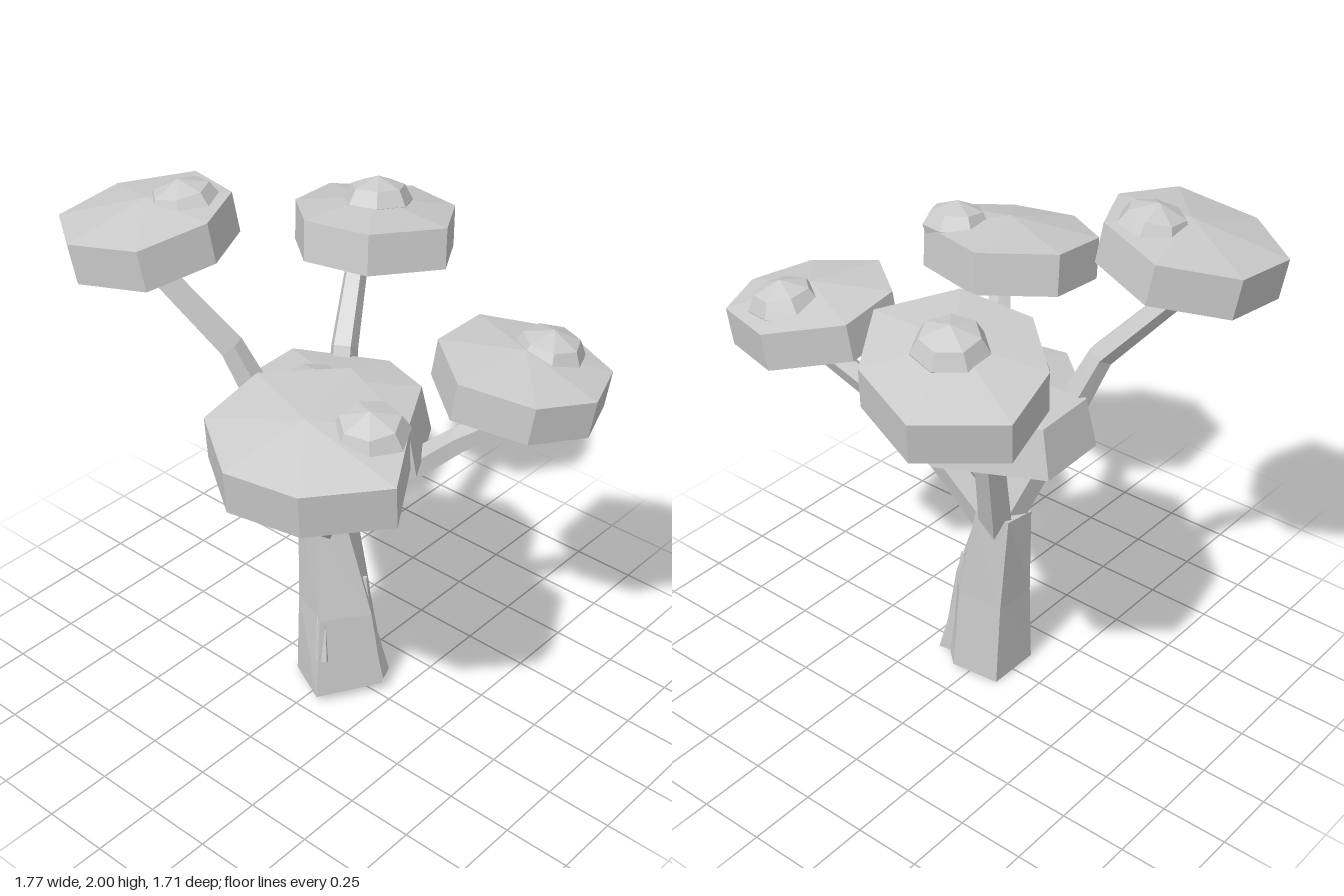
import * as THREE from 'three';

const material = new THREE.MeshStandardMaterial({ color: 0xcccccc, flatShading: true });
const V = (x, y, z) => new THREE.Vector3(x, y, z);

// Skin a stack of rings from bottom to top; a one-point ring closes an end.
function loft(name, rings) {
  const pos = [];
  const n = Math.max(...rings.map(r => r.length));
  const tri = (...pts) => pts.forEach(p => pos.push(p.x, p.y, p.z));
  for (let i = 0; i < rings.length - 1; i++) {
    const lo = rings[i], hi = rings[i + 1];
    for (let j = 0; j < n; j++) {
      const a = lo[j % lo.length], b = lo[(j + 1) % lo.length];
      const d = hi[j % hi.length], c = hi[(j + 1) % hi.length];
      if (hi.length > 1) tri(a, d, c);
      if (lo.length > 1) tri(a, c, b);
    }
  }
  const geo = new THREE.BufferGeometry();
  geo.setAttribute('position', new THREE.Float32BufferAttribute(pos, 3));
  geo.computeVertexNormals();
  const mesh = new THREE.Mesh(geo, material);
  mesh.name = name;
  return mesh;
}

// Regular ring of points around a centre, facing along a direction.
function ring(center, dir, radius, sides, turn = 0) {
  const q = new THREE.Quaternion().setFromUnitVectors(V(0, 1, 0), dir);
  return Array.from({ length: sides }, (_, k) => {
    const a = turn + (k / sides) * Math.PI * 2;
    return V(Math.cos(a) * radius, 0, Math.sin(a) * radius).applyQuaternion(q).add(center);
  });
}

// Tapered, angular limb through a few points.
function limb(name, path, r0, r1, sides = 5) {
  const pts = path.map(p => V(...p)), last = pts.length - 1;
  const rings = pts.map((p, i) => {
    const dir = pts[Math.min(i + 1, last)].clone().sub(pts[Math.max(i - 1, 0)]).normalize();
    return ring(p, dir, r0 + (r1 - r0) * i / last, sides, 0.4);
  });
  return loft(name, [[pts[0]], ...rings, [pts[last]]]);
}

// Seven-sided leaf pad: outline in x/z, mid heights, slope and a knob on top.
function canopy(name, { outline, bottom, top, slope, taper = 0.98, dome = 0.05, belly = 0.04, knob }) {
  const group = new THREE.Group();
  group.name = name;
  const cx = outline.reduce((s, p) => s + p[0], 0) / outline.length;
  const cz = outline.reduce((s, p) => s + p[1], 0) / outline.length;
  const [sx, sz] = slope;
  const rim = (y, scale, shift) => outline.map(([x, z]) => {
    const dx = (x - cx) * scale, dz = (z - cz) * scale;
    return V(cx + dx + sx * shift, y + sx * dx + sz * dz, cz + dz + sz * shift);
  });
  group.add(loft('leafPad', [
    [V(cx, bottom - belly, cz)], rim(bottom, 0.98, 0.1), rim(top, taper, -0.03), [V(cx, top + dome, cz)],
  ]));
  const [kx, ky, kz] = knob;
  const axis = V(-sx, 1, -sz).normalize();
  const at = h => V(kx, ky, kz).addScaledVector(axis, h);
  group.add(loft('leafKnob', [
    [at(-0.21)], ring(at(-0.2), axis, 0.09, 7), ring(at(-0.09), axis, 0.13, 7),
    ring(at(-0.035), axis, 0.1, 7), [at(0)],
  ]));
  return group;
}

export function createModel() {
  const tree = new THREE.Group();
  tree.name = 'tree';

  // Leaning five-sided trunk
  const section = pts => pts.map(p => V(...p));
  tree.add(loft('trunk', [
    [V(0.01, 0.02, 0.01)],
    section([[0.2, 0.04, -0.02], [0.06, 0.03, 0.2], [-0.13, 0.01, 0.1], [-0.12, 0, -0.1], [0.06, 0.02, -0.14]]),
    section([[0.15, 0.35, -0.01], [0.04, 0.36, 0.155], [-0.135, 0.35, 0.08], [-0.13, 0.35, -0.09], [0.04, 0.37, -0.125]]),
    section([[0.03, 0.72, 0], [-0.03, 0.75, 0.1], [-0.16, 0.73, 0.05], [-0.15, 0.74, -0.07], [-0.03, 0.76, -0.11]]),
    [V(-0.06, 0.76, 0)],
  ]));

  // Bark ridges
  tree.add(limb('barkRidge', [[0.14, 0.03, -0.06], [0.11, 0.22, -0.05], [0.09, 0.48, -0.04]], 0.05, 0.01, 4));
  tree.add(limb('barkRidge', [[0.05, 0.18, 0.15], [0.03, 0.34, 0.13], [0.01, 0.46, 0.1]], 0.03, 0.02, 4));

  // Branches
  const branches = {
    branchFrontRight: [[-0.07, 0.68, 0.0], [-0.28, 1.22, 0.13], [-0.35, 1.4, 0.18], [-0.64, 1.74, 0.33]],
    branchBackRight: [[-0.07, 0.68, -0.04], [-0.2, 1.27, -0.25], [-0.34, 1.57, -0.5]],
    branchBackLeft: [[-0.04, 0.68, -0.03], [0.17, 0.94, -0.09], [0.4, 1.16, -0.18], [0.69, 1.38, -0.3]],
    branchFrontLeft: [[-0.06, 0.68, 0.03], [0.2, 1.09, 0.29], [0.38, 1.36, 0.54]],
  };
  for (const [name, path] of Object.entries(branches)) tree.add(limb(name, path, 0.065, 0.04));

  // Leaf canopies
  tree.add(canopy('canopyBackRight', {
    outline: [[-0.39, -0.86], [-0.1, -0.76], [0.06, -0.51], [-0.09, -0.25], [-0.37, -0.22], [-0.58, -0.4], [-0.64, -0.66]],
    bottom: 1.54, top: 1.69, slope: [0.1, 0.14], knob: [-0.3, 1.81, -0.55],
  }));
  tree.add(canopy('canopyFrontRight', {
    outline: [[-0.66, 0], [-0.39, 0.09], [-0.29, 0.31], [-0.37, 0.56], [-0.66, 0.61], [-0.89, 0.45], [-0.88, 0.18]],
    bottom: 1.745, top: 1.89, slope: [0.16, -0.1], knob: [-0.52, 2, 0.23],
  }));
  tree.add(canopy('canopyBackLeft', {
    outline: [[0.53, -0.57], [0.8, -0.48], [0.88, -0.27], [0.78, -0.06], [0.53, 0.04], [0.31, -0.13], [0.29, -0.39]],
    bottom: 1.36, top: 1.5, slope: [-0.13, 0.08], knob: [0.62, 1.59, -0.38],
  }));
  tree.add(canopy('canopyFrontLeft', {
    outline: [[0.25, 0.22], [0.6, 0.34], [0.74, 0.57], [0.53, 0.79], [0.27, 0.85], [0.04, 0.7], [0.02, 0.43]],
    bottom: 1.36, top: 1.52, slope: [-0.06, -0.14], knob: [0.52, 1.62, 0.45],
  }));
  tree.add(canopy('canopyCenter', {
    outline: [[-0.03, -0.35], [0.2, -0.28], [0.36, 0], [0.2, 0.31], [-0.11, 0.37], [-0.39, 0.13], [-0.4, -0.16]],
    bottom: 1.07, top: 1.25, slope: [0, 0], taper: 0.87, dome: 0.06, belly: 0.085, knob: [-0.05, 1.38, 0.08],
  }));
  return tree;
}
